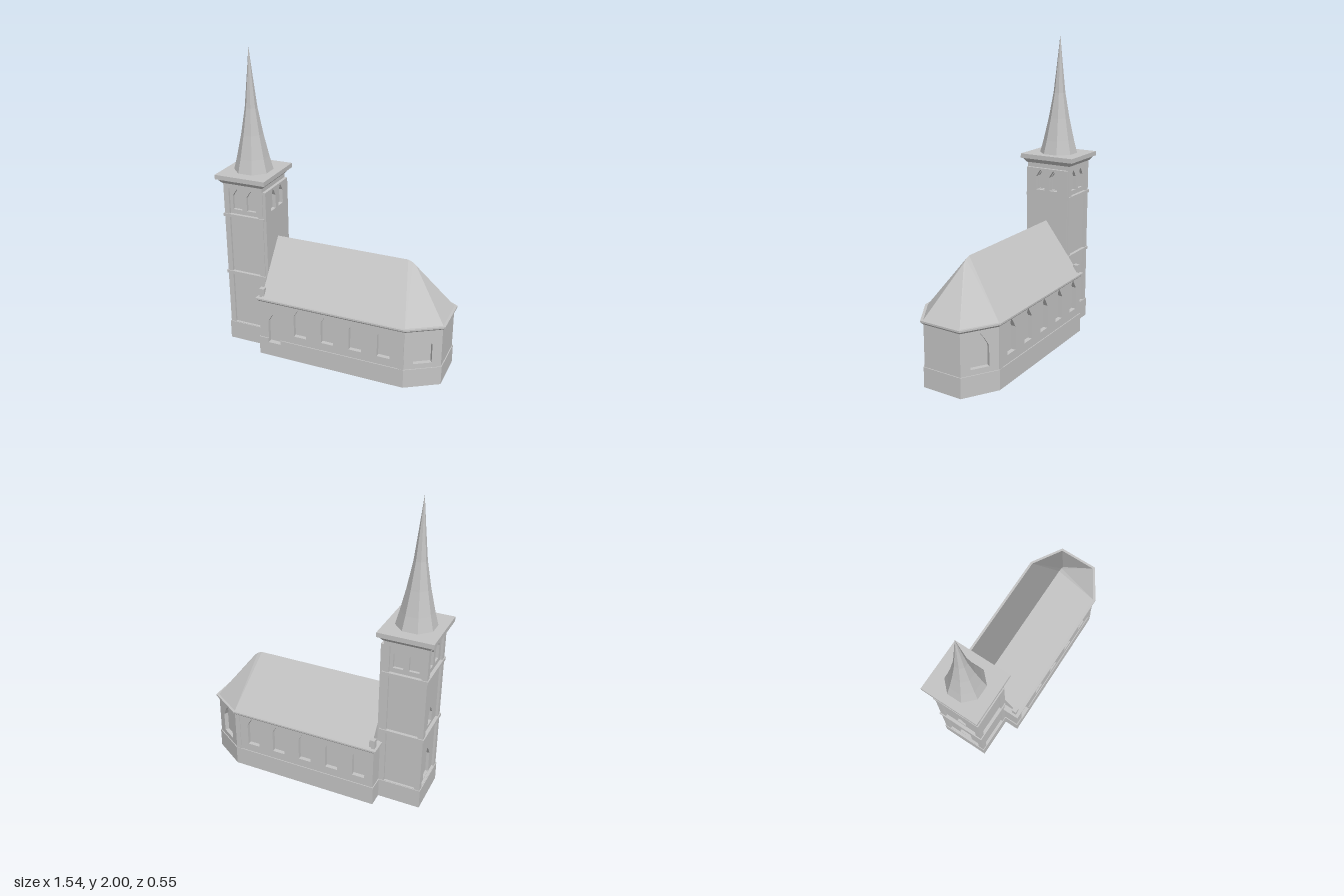
import * as THREE from 'three';
import { ConvexGeometry } from 'three/addons/geometries/ConvexGeometry.js';

const stone = new THREE.MeshStandardMaterial({ color: 0xc4c4c4 });
stone.name = 'stoneGrey';

// Footprints as [x, z] corners, running front-left round to the back; d grows them outward
const naveFoot = (d) => [
  [-0.455 - d, 0.258 + d], [0.545 + 0.29 * d, 0.258 + d], [0.75 + d, 0.13 + 0.55 * d],
  [0.75 + d, -0.13 - 0.55 * d], [0.545 + 0.29 * d, -0.258 - d], [-0.455 - d, -0.258 - d],
];
const towerFoot = (d) => [
  [-0.735 - d, 0.16 + d], [-0.457 + d, 0.16 + d], [-0.457 + d, -0.16 - d], [-0.735 - d, -0.16 - d],
];

function add(group, name, geometry) {
  const mesh = new THREE.Mesh(geometry, stone);
  mesh.name = name;
  group.add(mesh);
  return mesh;
}

// Convex solid between a lower and an upper footprint
function loft(lower, y0, upper, y1) {
  const pts = [
    ...lower.map(([x, z]) => new THREE.Vector3(x, y0, z)),
    ...upper.map(([x, z]) => new THREE.Vector3(x, y1, z)),
  ];
  return new ConvexGeometry(pts);
}

// Openings in wall coordinates (u along the wall, y up)
const polygon = (pts) => pts.map(([u, y]) => new THREE.Vector2(u, y));
const panel = (u0, u1, y0, y1) => polygon([[u0, y0], [u1, y0], [u1, y1], [u0, y1]]);
const lancet = (u, w, y0, y1, rise = w * 0.75) => polygon([
  [u - w / 2, y0], [u + w / 2, y0], [u + w / 2, y1 - rise], [u + w * 0.24, y1 - rise * 0.42],
  [u, y1], [u - w * 0.24, y1 - rise * 0.42], [u - w / 2, y1 - rise],
]);

// Wall slab whose outer face lies on the edge p to q, with openings and an optional top notch
function wall(p, q, y0, y1, depth, holes = [], notch = null) {
  const dir = new THREE.Vector3(q[0] - p[0], 0, q[1] - p[1]);
  const len = dir.length();
  dir.normalize();
  const out = new THREE.Vector3(-dir.z, 0, dir.x);
  const pts = [[0, y0], [len, y0], [len, y1]];
  if (notch) {
    const [u, w, y] = notch;
    pts.push([u + w / 2, y1], [u + w / 2, y], [u - w / 2, y], [u - w / 2, y1]);
  }
  pts.push([0, y1]);
  const shape = new THREE.Shape(polygon(pts));
  for (const h of holes) shape.holes.push(new THREE.Path(h));
  const g = new THREE.ExtrudeGeometry(shape, { depth, bevelEnabled: false });
  g.translate(0, 0, -depth);
  const m = new THREE.Matrix4().makeBasis(dir, new THREE.Vector3(0, 1, 0), out);
  m.setPosition(p[0], 0, p[1]);
  return g.applyMatrix4(m);
}

// One wall per footprint edge; holes and notches are listed by edge
function walls(group, name, foot, y0, y1, depth, holes = [], notches = []) {
  foot.forEach((p, i) => {
    add(group, name, wall(p, foot[(i + 1) % foot.length], y0, y1, depth, holes[i], notches[i]));
  });
}

function makeNave() {
  const nave = new THREE.Group();
  nave.name = 'nave';
  add(nave, 'naveCore', loft(naveFoot(-0.028), 0, naveFoot(-0.028), 0.41));

  // Side and apse walls with pointed windows
  const xs = [-0.165, 0.027, 0.22, 0.41];
  const front = xs.map((x) => lancet(x + 0.455, 0.085, 0.185, 0.4));
  front.push(lancet(0.105, 0.088, 0.1, 0.325));
  const back = [-0.355, ...xs].map((x) => lancet(0.545 - x, 0.085, 0.185, 0.4));
  const apse = [lancet(0.121, 0.118, 0.165, 0.385)];
  walls(nave, 'naveWall', naveFoot(0), 0.05, 0.41, 0.03, [front, apse, [], apse, back]);

  // Plinth, notched under the low front window
  walls(nave, 'navePlinth', naveFoot(0.006), 0, 0.13, 0.036, [], [[0.111, 0.088, 0.1]]);

  // Shallow pilasters where the apse begins
  for (const s of [1, -1]) {
    const strip = add(nave, 'apsePilaster', new THREE.BoxGeometry(0.034, 0.28, 0.008));
    strip.position.set(0.527, 0.265, s * 0.258);
  }

  // Eaves and gutter
  add(nave, 'eaves', loft(naveFoot(0.003), 0.4, naveFoot(0.015), 0.414));
  add(nave, 'gutter', loft(naveFoot(0.017), 0.414, naveFoot(0.017), 0.425));

  // Roof with hipped apse end
  const roofBase = naveFoot(0.003).map(([x, z]) => [Math.max(x, -0.436), z]);
  add(nave, 'roof', loft(roofBase, 0.42, [], 0).type ? new ConvexGeometry([
    ...roofBase.map(([x, z]) => new THREE.Vector3(x, 0.422, z)),
    new THREE.Vector3(-0.436, 0.762, 0), new THREE.Vector3(0.47, 0.762, 0),
    new THREE.Vector3(0.5, 0.75, 0), new THREE.Vector3(0.523, 0.73, 0),
  ]) : null);

  // Gable end blocks beside the tower
  for (const s of [1, -1]) {
    const block = add(nave, 'gableBlock', new THREE.BoxGeometry(0.035, 0.08, 0.032));
    block.position.set(-0.439, 0.445, s * 0.236);
  }
  return nave;
}

function makeTower() {
  const tower = new THREE.Group();
  tower.name = 'tower';
  add(tower, 'towerCore', loft(towerFoot(-0.034), 0, towerFoot(-0.034), 1.15));
  add(tower, 'towerPlinth', loft(towerFoot(0.005), 0, towerFoot(0.005), 0.13));

  // Outer skin: corner pilasters framing three tall panels
  const stages = [[0.132, 0.505], [0.525, 0.92], [0.94, 1.12]];
  const long = stages.map(([a, b]) => panel(0.036, 0.242, a, b));
  const west = stages.map(([a, b]) => panel(0.04, 0.28, a, b));
  const eastOpening = [panel(0.04, 0.28, 0.94, 1.12)];
  walls(tower, 'towerPilasters', towerFoot(0), 0.1, 1.15, 0.016, [long, eastOpening, long, west]);

  // Inner skin: belfry openings, west window and west door
  const pair = (mid) => [-0.05, 0.05].map((o) => lancet(mid + o, 0.065, 0.97, 1.11));
  const westHoles = [...pair(0.145), lancet(0.145, 0.07, 0.545, 0.665), lancet(0.145, 0.1, 0.135, 0.355)];
  walls(tower, 'towerWall', towerFoot(-0.015), 0.1, 1.15, 0.02,
    [pair(0.124), pair(0.145), pair(0.124), westHoles]);

  // Plain east face above the roof
  add(tower, 'towerEastFace', wall([-0.436, 0.155], [-0.436, -0.155], 0.4, 1.12, 0.025, pair(0.155)));

  // String courses, cornice and cap slab
  for (const y of [0.505, 0.92]) {
    for (const [i, p] of towerFoot(0.007).entries()) {
      const q = towerFoot(0.007)[(i + 1) % 4];
      add(tower, 'stringCourse', wall(p, q, y, y + 0.02, 0.02));
    }
  }
  add(tower, 'cornice', loft(towerFoot(0.005), 1.15, towerFoot(0.028), 1.18));
  add(tower, 'capSlab', loft(towerFoot(0.037), 1.18, towerFoot(0.037), 1.21));

  // Eight-sided spire with a flared foot
  const k = 1 / Math.cos(Math.PI / 8);
  const profile = [[0.118, 1.209], [0.096, 1.3], [0.065, 1.45], [0.037, 1.62], [0.018, 1.81], [0, 2]];
  const spire = new THREE.LatheGeometry(
    profile.map(([r, y]) => new THREE.Vector2(r * k, y)), 8, Math.PI / 8).toNonIndexed();
  spire.computeVertexNormals();
  add(tower, 'spire', spire).position.x = -0.596;
  return tower;
}

export function createModel() {
  const church = new THREE.Group();
  church.name = 'church';
  church.add(makeNave(), makeTower());
  return church;
}
